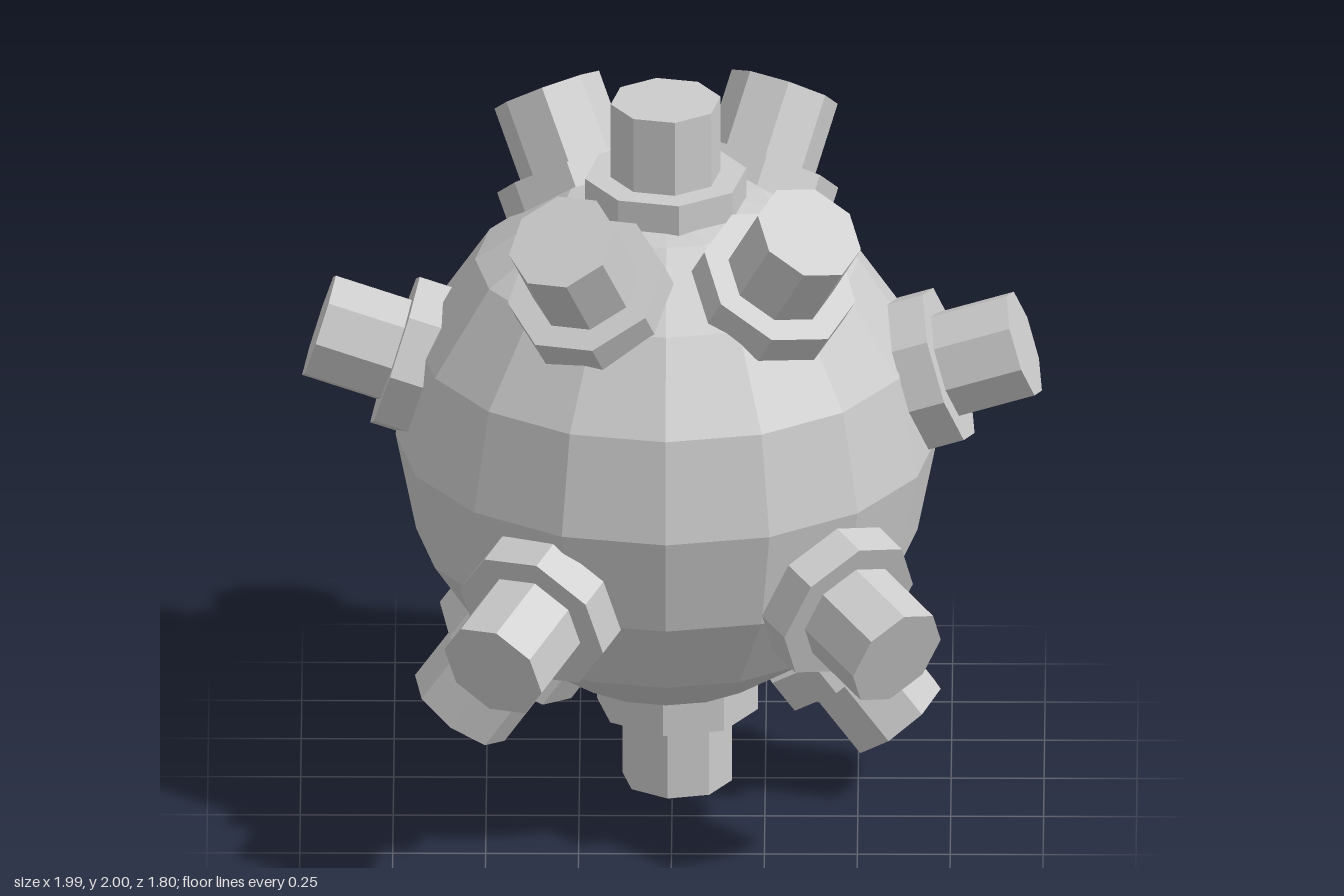
import * as THREE from 'three';

const material = new THREE.MeshStandardMaterial({ color: 0xcccccc, flatShading: true });

// Octagonal horn along +y, measured from the centre of the ball
const collarGeometry = new THREE.CylinderGeometry(0.22, 0.22, 0.1, 8).translate(0, 0.735, 0);
const rodGeometry = new THREE.CylinderGeometry(0.15, 0.15, 0.3, 8).translate(0, 0.85, 0);

// Directions in which the horns point
const hornDirections = [
  // top and bottom
  [-0.018, 1, 0.005], [0.013, -1, -0.01],
  // upper ring
  [-0.34, 0.83, -0.44], [0.30, 0.82, -0.49], [0.37, 0.81, 0.45], [-0.295, 0.81, 0.51],
  // sides
  [-0.955, 0.30, -0.075], [0.95, 0.315, 0.07],
  // lower ring
  [-0.48, -0.32, 0.82], [0.61, -0.32, 0.73], [0.49, -0.32, -0.81], [-0.6, -0.32, -0.735],
  // low sides
  [0.605, -0.795, 0.05], [-0.57, -0.815, -0.05],
];

function createHorn([x, y, z]) {
  const horn = new THREE.Group();
  horn.name = 'horn';
  const collar = new THREE.Mesh(collarGeometry, material);
  collar.name = 'hornCollar';
  const rod = new THREE.Mesh(rodGeometry, material);
  rod.name = 'hornRod';
  horn.add(collar, rod);
  horn.position.y = 1;
  if (Math.abs(y) === 1) {
    // vertical horns stay upright, set slightly off the axis
    horn.position.set(x, 1, z);
    horn.rotation.set(y < 0 ? Math.PI : 0, 0.17, 0);
  } else {
    const direction = new THREE.Vector3(x, y, z).normalize();
    horn.quaternion.setFromUnitVectors(new THREE.Vector3(0, 1, 0), direction);
  }
  return horn;
}

export function createModel() {
  const model = new THREE.Group();
  model.name = 'spikedBall';

  // Faceted ball
  const ball = new THREE.Mesh(new THREE.SphereGeometry(0.73, 16, 8), material);
  ball.name = 'ball';
  ball.position.set(-0.015, 1.013, 0);
  model.add(ball);

  for (const direction of hornDirections) model.add(createHorn(direction));
  return model;
}
